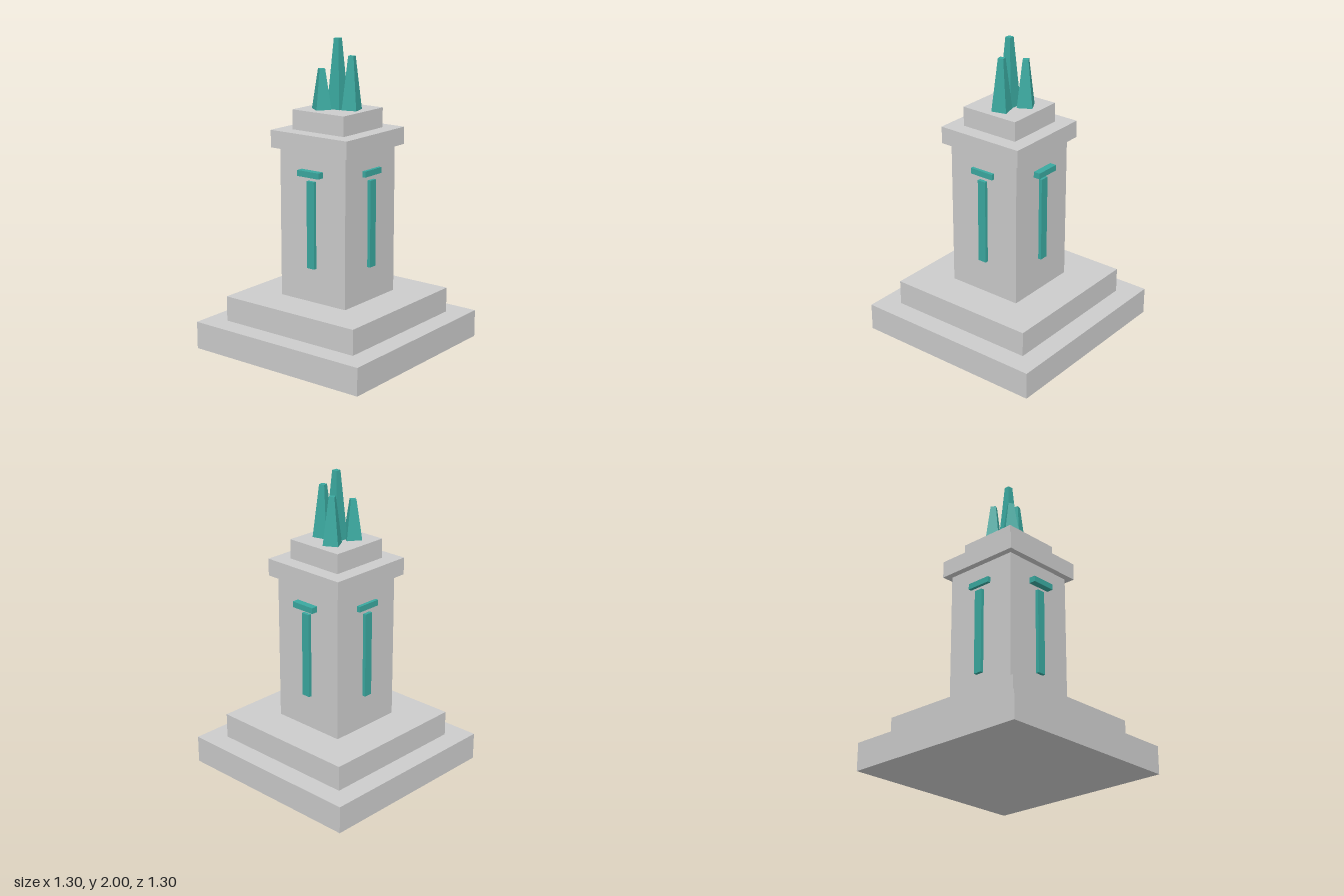
import * as THREE from 'three';

export function createModel() {
  const model = new THREE.Group();
  model.name = 'crystalPillar';
  const stone = new THREE.MeshStandardMaterial({ color: 0xcccccc, flatShading: true });
  const teal = new THREE.MeshStandardMaterial({ color: 0x3aa89f, flatShading: true });

  const add = (parent, name, geometry, material) => {
    const mesh = new THREE.Mesh(geometry, material);
    mesh.name = name;
    parent.add(mesh);
    return mesh;
  };

  // Stacked square stone blocks: name, half width, bottom, top
  const blocks = [
    ['lowerStep', 0.648, 0, 0.18],
    ['upperStep', 0.51, 0.18, 0.345],
    ['shaft', 0.258, 0.345, 1.318],
    ['capital', 0.3, 1.318, 1.43],
    ['crystalPlinth', 0.202, 1.43, 1.557],
  ];
  for (const [name, half, y0, y1] of blocks) {
    const block = add(model, name, new THREE.BoxGeometry(half * 2, y1 - y0, half * 2), stone);
    block.position.y = (y0 + y1) / 2;
  }

  // Inlaid strip and crossbar on each face; the side crossbars stand out further
  const inner = 0.24;
  ['front', 'left', 'back', 'right'].forEach((side, i) => {
    const panel = new THREE.Group();
    panel.name = side + 'Inlay';
    panel.rotation.y = i * Math.PI / 2;
    const barOuter = i % 2 ? 0.303 : 0.28;
    const strip = add(panel, 'strip', new THREE.BoxGeometry(0.058, 0.564, 0.28 - inner), teal);
    strip.position.set(0, 0.853, (0.28 + inner) / 2);
    const bar = add(panel, 'crossbar', new THREE.BoxGeometry(0.168, 0.038, barOuter - inner), teal);
    bar.position.set(0, 1.184, (barOuter + inner) / 2);
    model.add(panel);
  });

  // Tapered square crystals: x, z, tip height, turn
  const crystals = [
    [0, 0, 2, 0],
    [0.017, 0.097, 1.895, 0.27],
    [0.088, -0.05, 1.863, 0.52],
    [-0.08, -0.066, 1.813, -0.6],
  ];
  const base = 1.557;
  for (const [x, z, tip, turn] of crystals) {
    const geometry = new THREE.CylinderGeometry(0.018 * Math.SQRT2, 0.049 * Math.SQRT2, tip - base, 4);
    geometry.rotateY(Math.PI / 4);
    const crystal = add(model, 'crystal', geometry, teal);
    crystal.position.set(x, (base + tip) / 2, z);
    crystal.rotation.y = turn;
  }
  return model;
}
